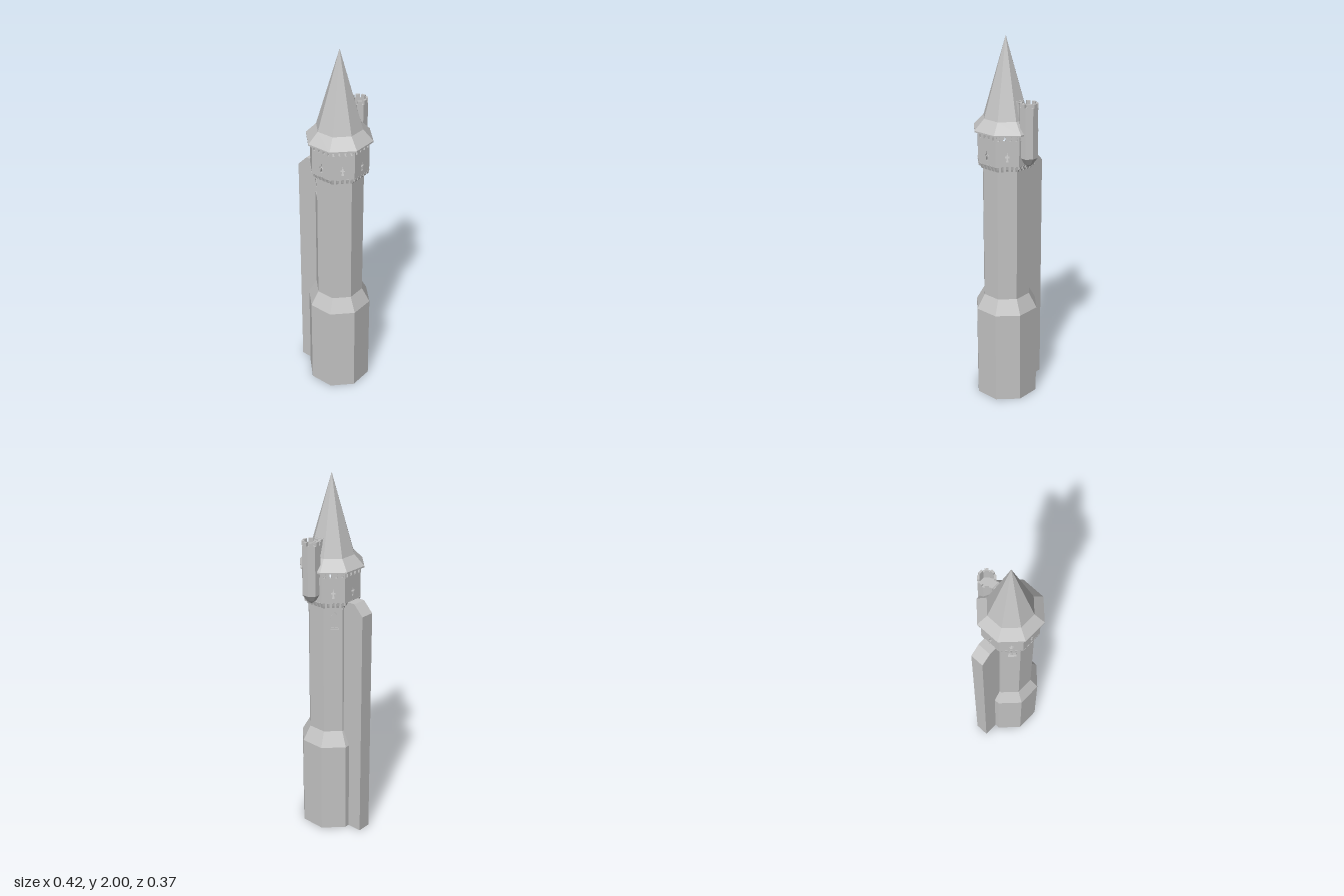
import * as THREE from 'three';

const stone = new THREE.MeshStandardMaterial({ color: 0xc2c2c2, flatShading: true, side: THREE.DoubleSide });
stone.name = 'grey stone';

const rad = THREE.MathUtils.degToRad;
const APOTHEM = Math.cos(Math.PI / 8), HALF = Math.sin(Math.PI / 8);
const BODY_R = 0.13, GALLERY_R = 0.157;

function add(parent, name, geometry, x = 0, y = 0, z = 0) {
  const mesh = new THREE.Mesh(geometry, stone);
  mesh.name = name;
  mesh.position.set(x, y, z);
  parent.add(mesh);
  return mesh;
}

// Eight-sided ring or shell from [radius, height] pairs
function octagon(profile, start = rad(78)) {
  return new THREE.LatheGeometry(profile.map(([r, y]) => new THREE.Vector2(r, y)), 8, start);
}

function polygon(points, Type = THREE.Shape) {
  return new Type(points.map(([x, y]) => new THREE.Vector2(x, y)));
}

// Pointed arch outline standing on (x, y)
function arch(x, y, w, h, Type) {
  const s = h - w * 0.8;
  return polygon([[x - w / 2, y], [x + w / 2, y], [x + w / 2, y + s], [x + w * 0.36, y + s + w * 0.4],
    [x, y + h], [x - w * 0.36, y + s + w * 0.4], [x - w / 2, y + s]], Type);
}

const extrude = (shape, depth) => new THREE.ExtrudeGeometry(shape, { depth, bevelEnabled: false });

// Group whose local +z points out of face k of the tower
function faceGroup(parent, k, name) {
  const g = new THREE.Group();
  g.name = name;
  g.rotation.y = rad(90 - (34.5 + 45 * k));
  parent.add(g);
  return g;
}

// One flat side of the shaft, optionally with a recessed twin-light window
function shaftSide(g, hasWindow) {
  const w = BODY_R * HALF, z = BODY_R * APOTHEM;
  const wall = polygon([[-w, 0.6], [w, 0.6], [w, 1.36], [-w, 1.36]]);
  if (hasWindow) {
    wall.holes.push(arch(0.008, 1.2, 0.05, 0.1, THREE.Path));
    const tracery = arch(0.008, 1.2, 0.05, 0.1);
    for (const s of [-1, 1]) tracery.holes.push(arch(0.008 + s * 0.011, 1.207, 0.016, 0.062, THREE.Path));
    add(g, 'windowTracery', extrude(tracery, 0.006), 0, 0, z - 0.014);
    const reveal = arch(0.008, 1.2, 0.05, 0.1);
    reveal.holes.push(arch(0.008, 1.203, 0.044, 0.092, THREE.Path));
    add(g, 'windowReveal', extrude(reveal, 0.016), 0, 0, z - 0.014);
    add(g, 'windowBack', new THREE.PlaneGeometry(0.054, 0.11), 0.008, 1.252, z - 0.02);
  }
  add(g, 'shaftWall', new THREE.ShapeGeometry(wall), 0, 0, z);
}

// Gallery wall with toothed top, arrow loop and a row of corbels
function gallerySide(g) {
  const w = GALLERY_R * HALF, z = GALLERY_R * APOTHEM;
  const outline = [[-w, 1.355], [w, 1.355]];
  const teeth = 4, step = 2 * w / teeth;
  for (let i = 0; i < teeth; i++) {
    const x = w - i * step;
    outline.push([x, 1.528], [x - step * 0.22, 1.518], [x - step * 0.35, 1.494],
      [x - step * 0.65, 1.494], [x - step * 0.78, 1.518]);
  }
  outline.push([-w, 1.528]);
  const wall = polygon(outline);
  wall.holes.push(polygon([[-0.007, 1.383], [0.007, 1.383], [0.004, 1.398], [0.004, 1.406], [0.011, 1.406],
    [0.011, 1.415], [0.004, 1.415], [0, 1.435], [-0.004, 1.415], [-0.011, 1.415], [-0.011, 1.406],
    [-0.004, 1.406], [-0.004, 1.398]], THREE.Path));
  add(g, 'galleryWall', extrude(wall, 0.012), 0, 0, z - 0.012);

  const bracket = polygon([[0.115, 1.322], [0.128, 1.326], [0.132, 1.338], [z - 0.002, 1.342],
    [z + 0.002, 1.36], [0.115, 1.36]]);
  const corbel = extrude(bracket, 0.012);
  corbel.translate(0, 0, -0.006);
  corbel.rotateY(-Math.PI / 2);
  for (let i = 0; i < 5; i++) add(g, 'corbel', corbel, (i - 2) * 0.0245);
}

// Small round stair turret hung on the back of the gallery
function turret(g) {
  const t = new THREE.Group();
  t.name = 'turret';
  t.position.z = 0.155;
  g.add(t);
  const start = rad(22.5);
  add(t, 'turretWall', octagon([[0.005, 1.35], [0.024, 1.365], [0.049, 1.4], [0.049, 1.664],
    [0.038, 1.664], [0.038, 1.6], [0, 1.6]], start));
  for (let i = 0; i < 8; i++) {
    if (i === 4) continue; // doorway towards the roof
    const merlon = add(t, 'merlon', new THREE.BoxGeometry(0.021, 0.02, 0.011),
      Math.sin(i * Math.PI / 4) * 0.0405, 1.674, Math.cos(i * Math.PI / 4) * 0.0405);
    merlon.rotation.y = i * Math.PI / 4;
  }
  // Stairs climbing inward to the roof
  for (let i = 0; i < 8; i++) {
    const h = 0.01 + i * 0.01;
    add(t, 'stair', new THREE.BoxGeometry(i < 4 ? 0.066 : 0.044, h, 0.009), 0, 1.598 + h / 2, 0.008 - i * 0.009);
  }
  add(t, 'landing', new THREE.BoxGeometry(0.042, 0.02, 0.017), 0, 1.67, -0.07);
}

export function createModel() {
  const model = new THREE.Group();
  model.name = 'tower';
  const tower = new THREE.Group();
  tower.name = 'towerBody';
  tower.position.set(0.036, 0, 0.012);
  model.add(tower);

  // Wide base, open underneath, tapering into the shaft
  add(tower, 'base', octagon([[0.174, 0], [0.174, 0.52], [BODY_R, 0.6]]));

  for (let k = 0; k < 8; k++) {
    const g = faceGroup(tower, k, 'towerSide');
    shaftSide(g, k === 2 || k === 4);
    gallerySide(g);
  }
  add(tower, 'galleryFloor', octagon([[GALLERY_R, 1.356], [GALLERY_R, 1.362], [0, 1.362]]));
  add(tower, 'galleryUnderside', octagon([[0.12, 1.356], [GALLERY_R, 1.356]]));

  // Spire with a flared skirt and thin eaves
  add(tower, 'roof', octagon([[0, 1.528], [0.172, 1.52], [0.176, 1.521], [0.176, 1.529],
    [0.122, 1.585], [0, 2]]));

  // Tall buttress with a sloping outer top
  const side = polygon([[0.1, 0], [0.243, 0], [0.243, 1.3], [0.188, 1.357], [0.1, 1.357]]);
  const buttress = extrude(side, 0.077);
  buttress.translate(0, 0, -0.0385);
  buttress.rotateY(-Math.PI / 2);
  add(faceGroup(tower, 3, 'buttressSide'), 'buttress', buttress);

  turret(faceGroup(tower, 5, 'turretSide'));
  return model;
}
